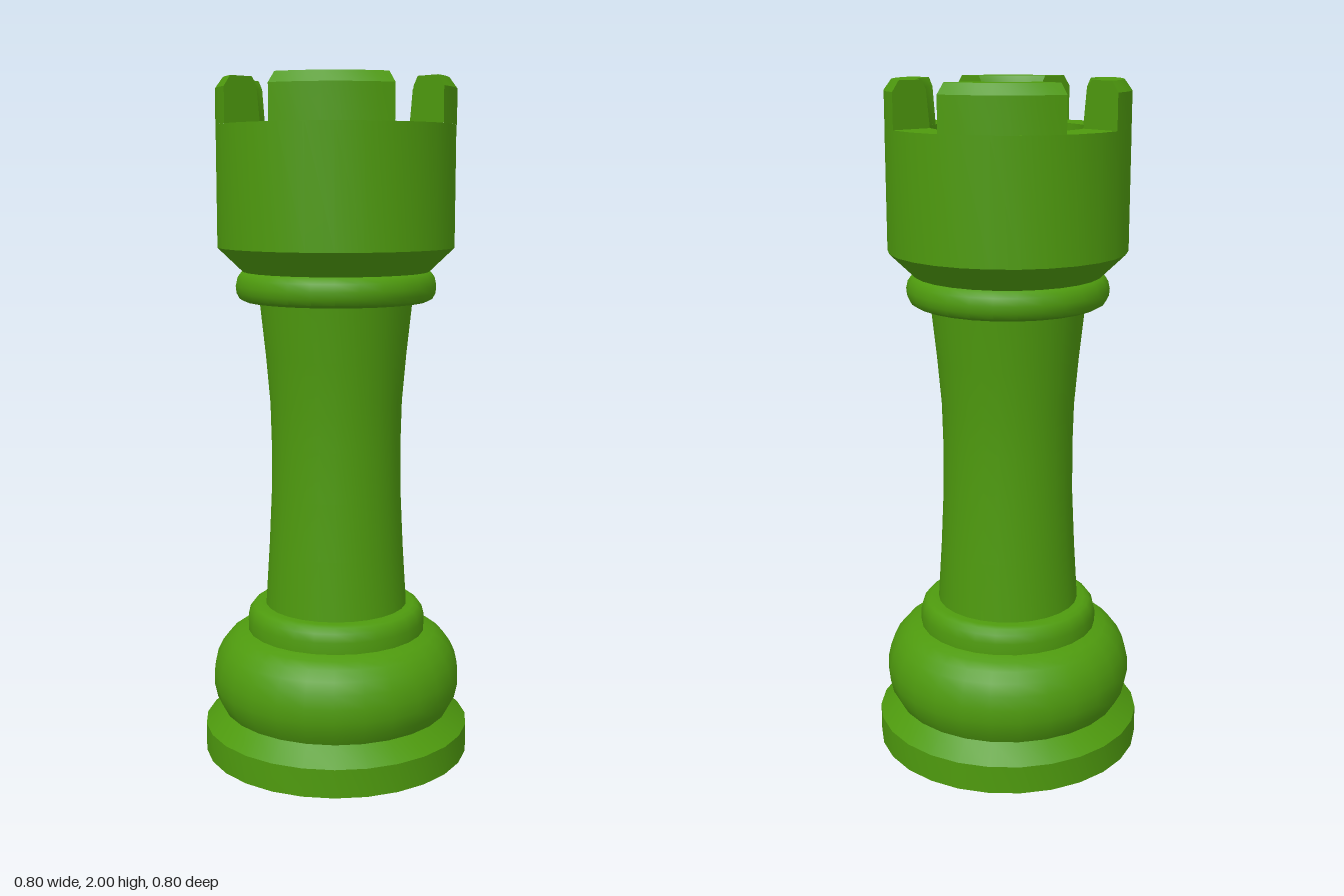
import * as THREE from 'three';
import { toCreasedNormals } from 'three/addons/utils/BufferGeometryUtils.js';

const SIDES = 27;
const CREASE = 0.6;
const NOTCH = 0.094; // half width of the notches
const material = new THREE.MeshStandardMaterial({ color: 0x4e9a0e });

function addMesh(group, name, geometry) {
  const mesh = new THREE.Mesh(toCreasedNormals(geometry, CREASE), material);
  mesh.name = name;
  group.add(mesh);
  return mesh;
}

// Turned part from [radius, height] pairs, listed upwards along the outside
function turned(profile) {
  const points = profile.map(([r, y]) => new THREE.Vector2(r, y));
  return new THREE.LatheGeometry(points, SIDES, Math.PI / 2);
}

// Battlement block: an arc of the wall, cut by notches with parallel sides
function merlonGeometry() {
  const profile = [[0.345, 1.87], [0.345, 1.97], [0.323, 2], [0.25, 2], [0.236, 1.975], [0.225, 1.87]];
  const n = profile.length, steps = 7;
  const positions = [], indices = [];
  for (let i = 0; i <= steps; i++) {
    for (const [r, y] of profile) {
      const start = Math.asin(NOTCH / r);
      const angle = start + (Math.PI / 2 - 2 * start) * i / steps;
      positions.push(r * Math.sin(angle), y, r * Math.cos(angle));
    }
  }
  for (let i = 0; i < steps; i++) {
    for (let j = 0; j < n - 1; j++) {
      const a = i * n + j, b = a + n;
      indices.push(a, b, a + 1, b + 1, a + 1, b);
    }
  }
  // Flat notch walls at both ends
  const last = steps * n;
  for (let j = 1; j < n - 1; j++) {
    indices.push(0, j, j + 1, last, last + j + 1, last + j);
  }
  const geometry = new THREE.BufferGeometry();
  geometry.setAttribute('position', new THREE.Float32BufferAttribute(positions, 3));
  geometry.setIndex(indices);
  return geometry;
}

export function createModel() {
  const model = new THREE.Group();
  model.name = 'rook';

  addMesh(model, 'foot', turned([[0, 0], [0.4, 0], [0.4, 0.085], [0.345, 0.135]]));

  addMesh(model, 'bulge', turned([
    [0.345, 0.135], [0.364, 0.17], [0.373, 0.21], [0.373, 0.25], [0.364, 0.29],
    [0.348, 0.323], [0.325, 0.35], [0.3, 0.367], [0.265, 0.377],
  ]));

  addMesh(model, 'lowerCollar', turned([
    [0.268, 0.375], [0.268, 0.41], [0.262, 0.435], [0.25, 0.45], [0.235, 0.455], [0.2, 0.455],
  ]));

  addMesh(model, 'shaft', turned([
    [0.213, 0.455], [0.202, 0.63], [0.194, 0.8], [0.193, 0.95], [0.196, 1.07], [0.208, 1.21], [0.225, 1.37],
  ]));

  addMesh(model, 'upperCollar', turned([
    [0.2, 1.37], [0.268, 1.37], [0.283, 1.378], [0.292, 1.395], [0.294, 1.415],
    [0.289, 1.437], [0.278, 1.452], [0.26, 1.46],
  ]));

  // Flared head with a shallow well in its top
  addMesh(model, 'head', turned([
    [0.272, 1.455], [0.345, 1.525], [0.345, 1.87], [0.225, 1.87], [0.225, 1.82], [0, 1.82],
  ]));

  for (let i = 0; i < 4; i++) {
    addMesh(model, 'merlon', merlonGeometry()).rotation.y = i * Math.PI / 2;
  }
  return model;
}
